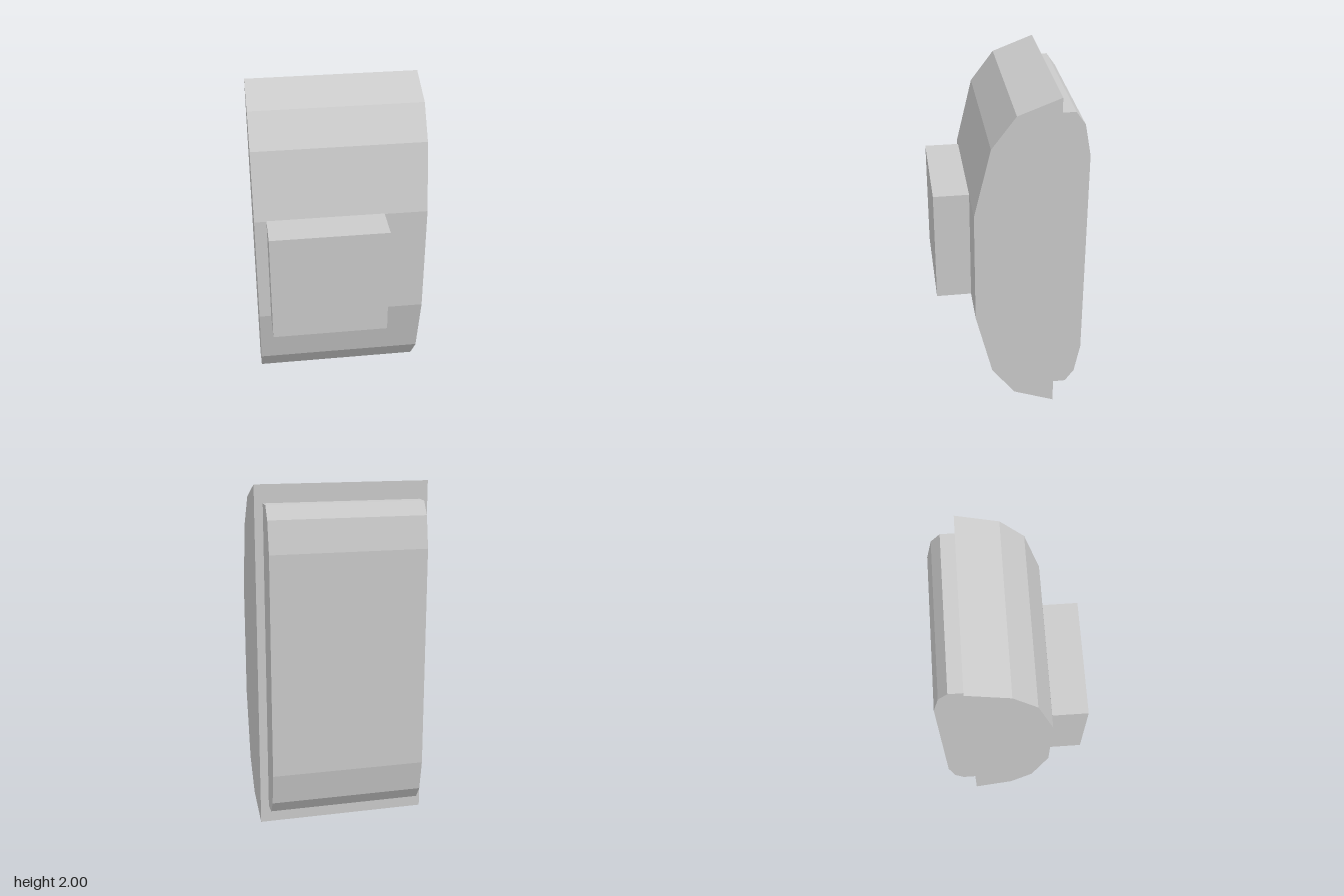
import * as THREE from 'three';

const material = new THREE.MeshStandardMaterial({ color: 0xcccccc, flatShading: true });

// Prism across x from the lower half of a [z, y] side profile, mirrored about y = 1
function prism(name, width, lower) {
  const upper = lower.map(([z, y]) => [z, 2 - y]).reverse();
  const shape = new THREE.Shape([...lower, ...upper].map(([z, y]) => new THREE.Vector2(z, y)));
  const geometry = new THREE.ExtrudeGeometry(shape, { depth: width, bevelEnabled: false });
  geometry.translate(0, 0, -width / 2).rotateY(-Math.PI / 2);
  const mesh = new THREE.Mesh(geometry, material);
  mesh.name = name;
  return mesh;
}

export function createModel() {
  const group = new THREE.Group();
  group.name = 'panelUnit';

  // Faceted main housing, widest at its flat rear face
  group.add(prism('housing', 0.992, [[-0.25, 0], [-0.012, 0.09], [0.123, 0.27], [0.218, 0.665]]));

  // Smaller bevelled cover on the rear face
  const cover = [[-0.42, 0.36], [-0.386, 0.178], [-0.333, 0.103], [-0.25, 0.103]];
  group.add(prism('rearCover', 0.896, cover));

  // Square block on the front, offset to one side
  const block = new THREE.Mesh(new THREE.BoxGeometry(0.673, 0.673, 0.204), material);
  block.name = 'frontBlock';
  block.position.set(-0.09, 1.002, 0.32);
  group.add(block);

  return group;
}
